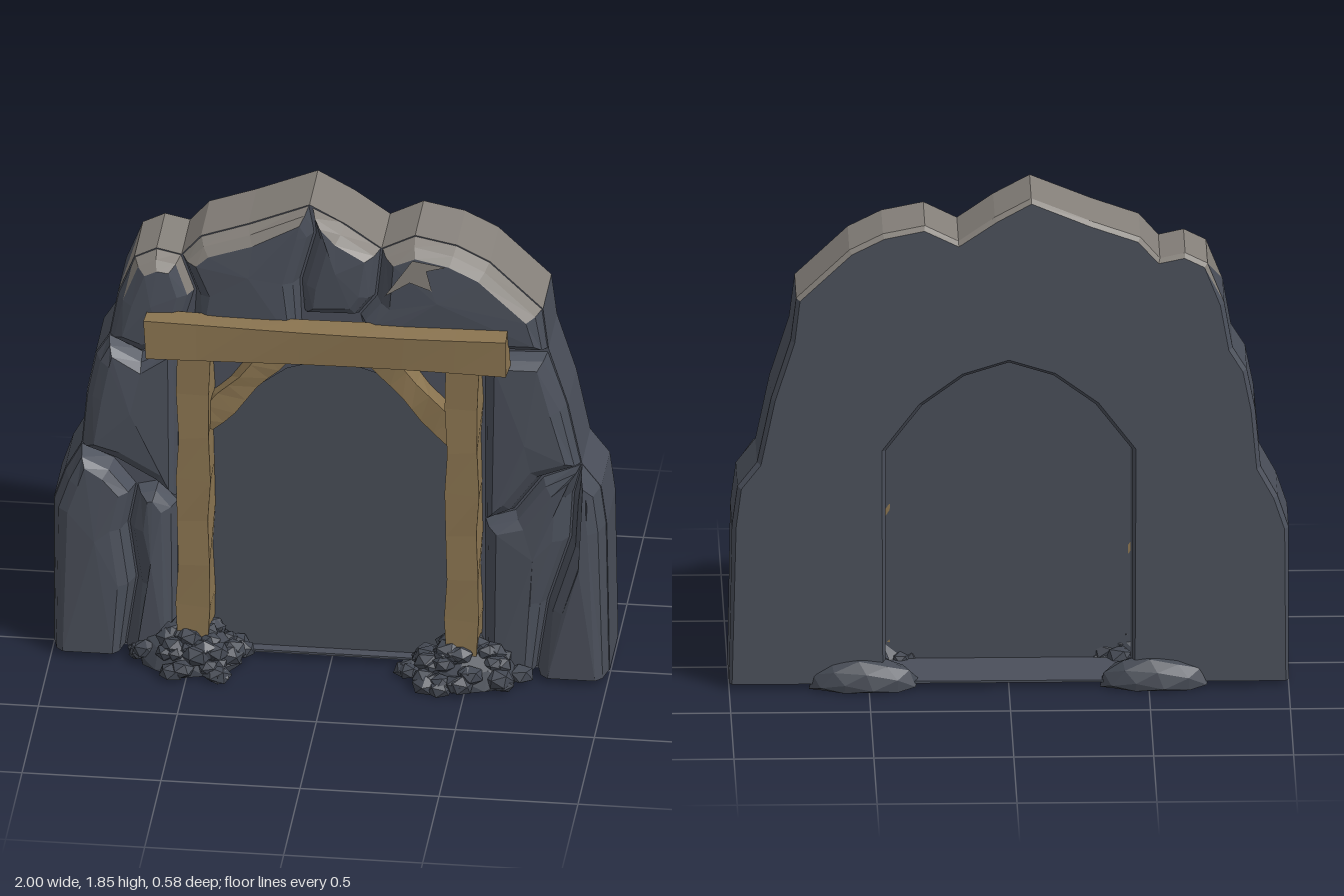
import * as THREE from 'three';
import { mergeGeometries } from 'three/addons/utils/BufferGeometryUtils.js';

const FLOOR = 0.025;
const V = (x, y) => new THREE.Vector2(x, y);

// Moves a counter-clockwise outline inwards, keeping its foot on the floor
function inset(pts, d) {
  const n = pts.length;
  return pts.map((p, i) => {
    const a = p.clone().sub(pts[(i + n - 1) % n]).normalize();
    const b = pts[(i + 1) % n].clone().sub(p).normalize();
    const m = V(-a.y - b.y, a.x + b.x).normalize().multiplyScalar(d);
    return V(p.x + m.x, p.y <= FLOOR ? p.y : Math.max(FLOOR, p.y + m.y));
  });
}

// Rock slab from rings [z, inset]; high upward faces go to the second material.
// With a dome height the front is a fan around a raised middle.
function slab(outline, rings, dome) {
  const pts = outline.map(([x, y]) => V(x, y));
  const n = pts.length;
  const loops = rings.map(([z, d]) => inset(pts, d).map(p => new THREE.Vector3(p.x, p.y, z)));
  const stone = [], cap = [];
  const tri = (a, b, c) => {
    const normal = b.clone().sub(a).cross(c.clone().sub(a)).normalize();
    const list = normal.y > 0.28 && (a.y + b.y + c.y) / 3 > 1.5 ? cap : stone;
    for (const v of [a, b, c]) list.push(v.x, v.y, v.z);
  };
  for (let k = 0; k + 1 < loops.length; k++) {
    for (let i = 0; i < n; i++) {
      const j = (i + 1) % n, lo = loops[k], hi = loops[k + 1];
      tri(lo[i], lo[j], hi[j]);
      tri(lo[i], hi[j], hi[i]);
    }
  }
  const face = (loop, front) => {
    for (const [i, j, k] of THREE.ShapeUtils.triangulateShape(loop.map(p => V(p.x, p.y)), [])) {
      const [a, b, c] = [loop[i], loop[j], loop[k]];
      const ccw = (b.x - a.x) * (c.y - a.y) - (b.y - a.y) * (c.x - a.x) > 0;
      if (ccw === front) tri(a, b, c); else tri(a, c, b);
    }
  };
  const last = loops[loops.length - 1];
  face(loops[0], false);
  if (dome) {
    const mid = last.reduce((s, p) => s.add(p), new THREE.Vector3()).divideScalar(n);
    mid.z += dome;
    last.forEach((p, i) => tri(p, last[(i + 1) % n], mid));
  } else face(last, true);

  const geo = new THREE.BufferGeometry();
  geo.setAttribute('position', new THREE.Float32BufferAttribute(stone.concat(cap), 3));
  geo.addGroup(0, stone.length / 3, 0);
  if (cap.length) geo.addGroup(stone.length / 3, cap.length / 3, 1);
  geo.computeVertexNormals();
  return geo;
}

// Rough-hewn timber: a box with slightly uneven corners along its length
function timber(w, h, d) {
  const geo = new THREE.BoxGeometry(w, h, d, w > h ? 7 : 1, h > w ? 7 : 1, 1).toNonIndexed();
  const p = geo.attributes.position;
  for (let i = 0; i < p.count; i++) {
    const x = p.getX(i), y = p.getY(i), z = p.getZ(i);
    const s = Math.sin(x * 37 + y * 23 + z * 51) * 0.006;
    p.setXYZ(i, x + s, y - s, z + s * 0.6);
  }
  geo.computeVertexNormals();
  return geo;
}

function randomFrom(seed) {
  return () => (seed = (seed * 16807) % 2147483647) / 2147483647;
}

// One loose stone, cut flat at the ground
function pebble(x, y, z, sx, sy, sz, turn, detail = 0) {
  const geo = new THREE.IcosahedronGeometry(1, detail);
  geo.rotateX(turn).rotateY(turn * 2.3).scale(sx, sy, sz).translate(x, y, z);
  const p = geo.attributes.position;
  for (let i = 0; i < p.count; i++) p.setY(i, Math.max(0.005, p.getY(i)));
  geo.computeVertexNormals();
  return geo;
}

export function createModel() {
  const group = new THREE.Group();
  const material = (name, color, side = THREE.FrontSide) => {
    const m = new THREE.MeshStandardMaterial({ color, side });
    m.name = name;
    return m;
  };
  const rock = material('dark rock', 0x4a4f5a);
  const cap = material('pale rock top', 0x85807a);
  const wood = material('timber', 0x8a7450);
  const gravel = material('rubble', 0x434852);
  const dark = material('tunnel', 0x484d57, THREE.DoubleSide);
  const add = (name, geo, mat, x = 0, y = 0, z = 0) => {
    const mesh = new THREE.Mesh(geo, mat);
    mesh.name = name;
    mesh.position.set(x, y, z);
    group.add(mesh);
    return mesh;
  };

  // Cliff wall with an arched passage
  const arch = [[-0.44, FLOOR], [-0.44, 0.9], [-0.31, 1.07], [-0.16, 1.18], [0, 1.23],
    [0.16, 1.18], [0.31, 1.07], [0.44, 0.9], [0.44, FLOOR]];
  const skyline = [[1, FLOOR], [0.99, 0.62], [0.97, 0.77], [0.9, 0.86], [0.85, 1.1], [0.78, 1.32],
    [0.76, 1.48], [0.57, 1.66], [0.45, 1.72], [0.3, 1.75], [0.18, 1.69], [0.05, 1.78],
    [-0.08, 1.85], [-0.3, 1.76], [-0.47, 1.7], [-0.54, 1.62], [-0.63, 1.64], [-0.71, 1.6],
    [-0.77, 1.45], [-0.8, 1.28], [-0.85, 1.2], [-0.88, 1.05], [-0.9, 0.83], [-0.96, 0.72],
    [-1, 0.6], [-1, FLOOR]];
  add('cliffWall', slab([...skyline, ...arch], [[-0.25, 0.015], [-0.23, 0], [0.03, 0]]), [rock, cap]);

  // Boulders on the cliff face, with cracks between them
  const boulders = {
    leftLow: [[-1, FLOOR], [-0.74, FLOOR], [-0.7, 0.3], [-0.73, 0.52], [-0.7, 0.68], [-0.78, 0.78],
      [-0.9, 0.83], [-0.96, 0.72], [-1, 0.6]],
    leftInner: [[-0.74, FLOOR], [-0.55, FLOOR], [-0.55, 0.62], [-0.62, 0.7], [-0.7, 0.68],
      [-0.73, 0.52], [-0.7, 0.3]],
    leftMiddle: [[-0.55, 0.64], [-0.55, 1.28], [-0.68, 1.22], [-0.8, 1.28], [-0.85, 1.2],
      [-0.88, 1.05], [-0.9, 0.83], [-0.78, 0.78], [-0.64, 0.7]],
    leftUpper: [[-0.55, 1.27], [-0.49, 1.48], [-0.54, 1.62], [-0.63, 1.64], [-0.71, 1.6],
      [-0.77, 1.45], [-0.8, 1.28], [-0.68, 1.22]],
    topLeft: [[-0.5, 1.28], [-0.1, 1.3], [-0.11, 1.55], [-0.06, 1.74], [-0.08, 1.85],
      [-0.3, 1.76], [-0.47, 1.7], [-0.54, 1.62], [-0.49, 1.48]],
    topMiddle: [[-0.1, 1.42], [0.1, 1.42], [0.16, 1.5], [0.18, 1.69], [0.05, 1.78],
      [-0.07, 1.84], [-0.06, 1.74], [-0.11, 1.55]],
    topRight: [[0.13, 1.3], [0.78, 1.32], [0.76, 1.48], [0.57, 1.66], [0.45, 1.72],
      [0.3, 1.75], [0.18, 1.69], [0.16, 1.5], [0.1, 1.42]],
    rightMiddle: [[0.55, 0.62], [0.66, 0.66], [0.76, 0.8], [0.9, 0.86], [0.85, 1.1],
      [0.78, 1.31], [0.55, 1.3]],
    rightInner: [[0.55, FLOOR], [0.74, FLOOR], [0.78, 0.3], [0.86, 0.56], [0.87, 0.74],
      [0.9, 0.86], [0.76, 0.8], [0.66, 0.66], [0.55, 0.62]],
    rightLow: [[0.74, FLOOR], [1, FLOOR], [0.99, 0.62], [0.97, 0.77], [0.9, 0.86],
      [0.87, 0.74], [0.86, 0.56], [0.78, 0.3]],
  };
  for (const [name, outline] of Object.entries(boulders)) {
    const z = name.endsWith('Low') ? 0.12 : 0.1;
    add(name + 'Boulder', slab(outline, [[0.02, 0], [z - 0.025, 0.025], [z, 0.06]], 0.012), [rock, cap]);
  }
  const patch = [[0.2, 1.54], [0.29, 1.6], [0.37, 1.57], [0.35, 1.65], [0.42, 1.67], [0.3, 1.69]];
  add('paleRockPatch', new THREE.ShapeGeometry(new THREE.Shape(patch.map(p => V(...p)))), cap, 0, 0, 0.113);

  // Dark end of the passage and its floor
  add('tunnelEnd', new THREE.ShapeGeometry(new THREE.Shape(arch.map(p => V(...p)))), dark);
  add('tunnelFloor', new THREE.BoxGeometry(0.88, 0.008, 0.29), rock, 0, FLOOR + 0.004, -0.105);

  // Timber frame
  add('lintel', timber(1.3, 0.14, 0.105), wood, -0.005, 1.348, 0.135);
  for (const s of [-1, 1]) {
    const side = s < 0 ? 'right' : 'left';
    add(side + 'Post', timber(0.115, 1.2, 0.16), wood, s * 0.483, 0.69, 0.083);
    const a = V(0.45, 0.98), b = V(0.17, 1.3), run = b.clone().sub(a);
    const brace = add(side + 'Brace', timber(0.085, run.length(), 0.09), wood,
      s * (a.x + b.x) / 2, (a.y + b.y) / 2, 0.075);
    brace.rotation.z = -s * Math.atan2(run.x, run.y);

    // Rubble heaped around the foot of each post
    const rnd = randomFrom(s < 0 ? 4711 : 907);
    const stones = [pebble(s * 0.5, 0.02, 0.1, 0.19, 0.12, 0.14, 0.4, 1)];
    for (let i = 0; i < 60; i++) {
      const t = rnd() * Math.PI * 2, r = Math.sqrt(rnd()), size = 0.025 + rnd() * 0.025;
      const x = 0.49 + Math.cos(t) * r * 0.21, z = 0.11 + Math.sin(t) * r * 0.14;
      stones.push(pebble(s * x, 0.02 + 0.13 * (1 - r * r), z,
        size * 1.2, size * 0.9, size, rnd() * 6));
    }
    add(side + 'Rubble', mergeGeometries(stones), gravel);
    add(side + 'BackRubble', pebble(s * 0.52, 0.02, -0.23, 0.2, 0.1, 0.08, 0.3, 1), gravel);
  }
  return group;
}
